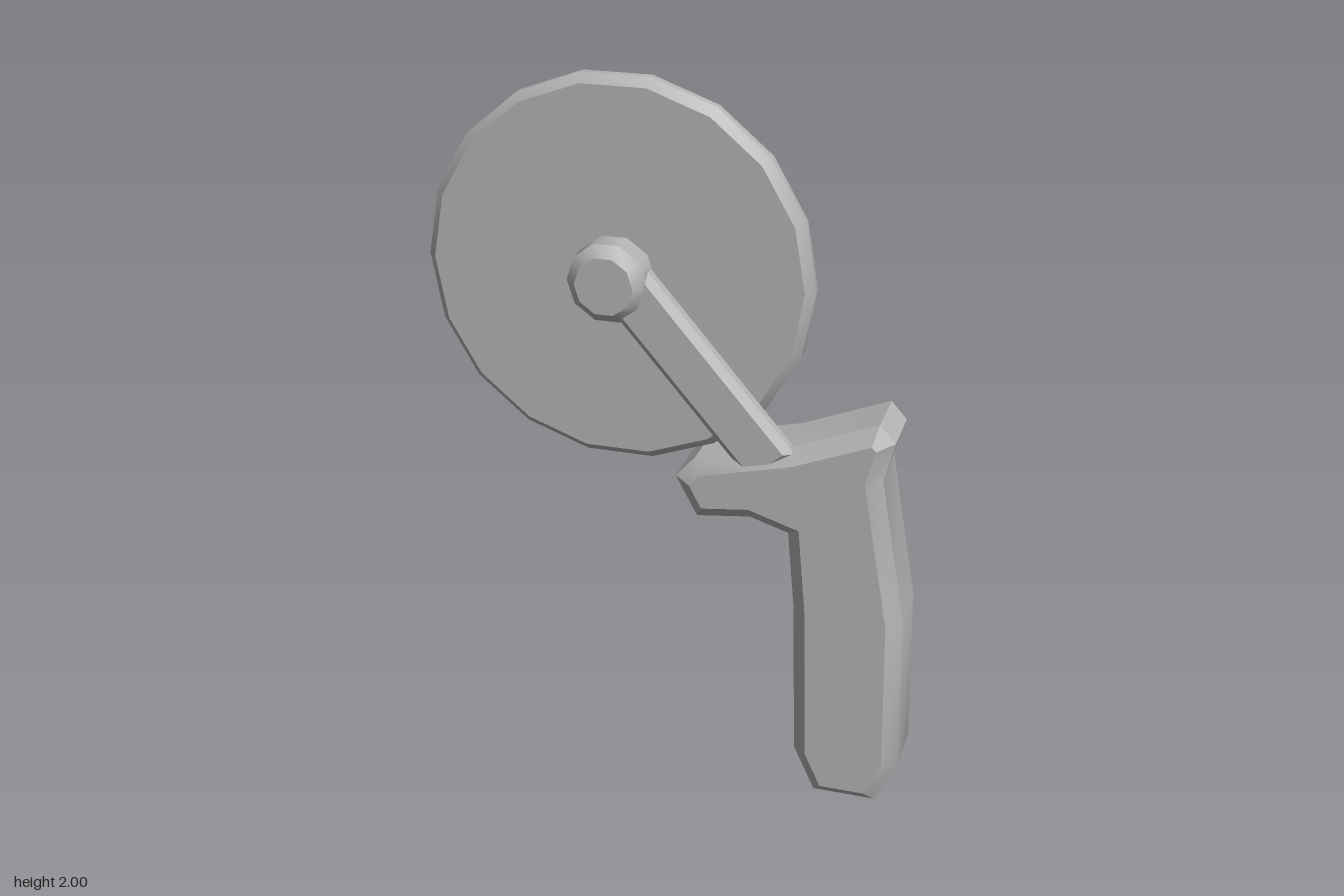
import * as THREE from 'three';
import { toCreasedNormals } from 'three/addons/utils/BufferGeometryUtils.js';

const grey = new THREE.MeshStandardMaterial({ color: 0xb4b4b4 });
grey.name = 'grey';

const HUB = [-0.15, 1.475];

function part(name, geometry, creaseDegrees) {
  const mesh = new THREE.Mesh(toCreasedNormals(geometry, THREE.MathUtils.degToRad(creaseDegrees)), grey);
  mesh.name = name;
  return mesh;
}

// Chamfered disc around the axle, with its axis along z
function disc(name, radius, back, front, bevel, sides) {
  const profile = [
    [0, back], [radius - bevel, back], [radius, back + bevel],
    [radius, front - bevel], [radius - bevel, front], [0, front],
  ].map(([r, z]) => new THREE.Vector2(r, z));
  const geometry = new THREE.LatheGeometry(profile, sides, Math.PI / 2);
  geometry.rotateX(Math.PI / 2).translate(HUB[0], HUB[1], 0);
  return part(name, geometry, 40);
}

// Outline extruded from back to front, with chamfers kept inside the outline
function bevelled(points, back, front, bevel) {
  const shape = new THREE.Shape(points.map(([x, y]) => new THREE.Vector2(x, y)));
  return new THREE.ExtrudeGeometry(shape, {
    depth: front - back - 2 * bevel,
    bevelEnabled: true,
    bevelThickness: bevel,
    bevelSize: bevel,
    bevelOffset: -bevel,
    bevelSegments: 1,
  }).translate(0, 0, back + bevel);
}

export function createModel() {
  const model = new THREE.Group();
  model.name = 'rotaryCutter';

  // Cutting wheel and its axle
  model.add(disc('cuttingWheel', 0.533, -0.045, 0.025, 0.024, 18));
  model.add(disc('axleHub', 0.11, -0.085, 0.123, 0.03, 10));

  // Slanted arm from the axle into the handle
  const length = 0.613, half = 0.076;
  const arm = bevelled([[0, -half], [length, -half], [length, half], [0, half]], 0.035, 0.1, 0.02);
  arm.rotateZ(Math.atan2(-0.464, 0.4)).translate(-0.1, 1.464, 0);
  model.add(part('arm', arm, 30));

  // Pistol-shaped handle, listed counter-clockwise from the front nose
  const outline = [
    [0.03, 0.937], [0.09, 0.825], [0.238, 0.843], [0.344, 0.81],
    [0.365, 0.59], [0.38, 0.13], [0.44, 0], [0.614, 0],
    [0.677, 0.127], [0.667, 0.587], [0.593, 1.0], [0.62, 1.11],
    [0.577, 1.159], [0.34, 1.063], [0.085, 1.0],
  ];
  model.add(part('handle', bevelled(outline, -0.13, 0.11, 0.04), 30));

  return model;
}
